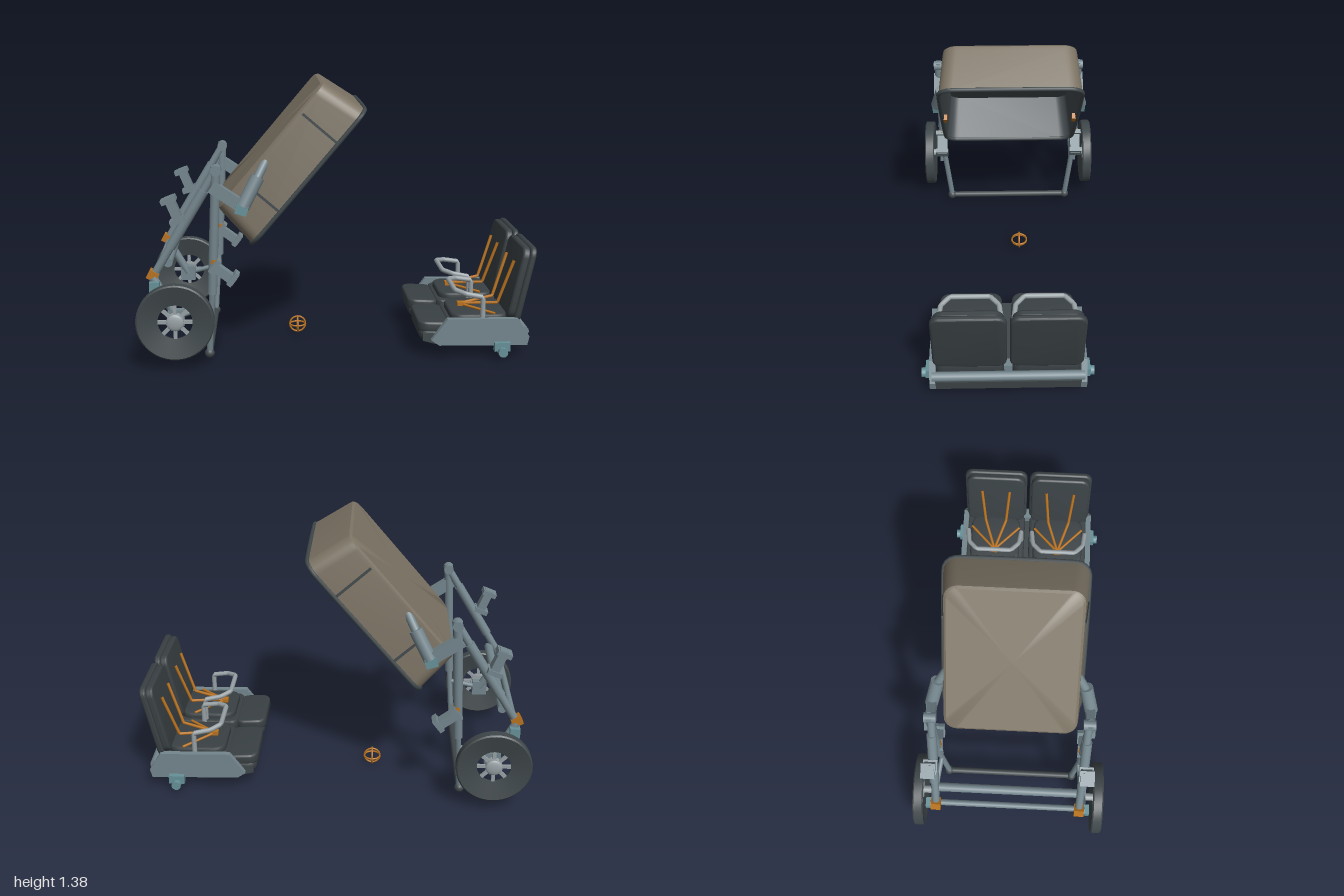
import * as THREE from 'three';
import { toCreasedNormals } from 'three/addons/utils/BufferGeometryUtils.js';

const mat = (name, color, side = THREE.FrontSide) => {
  const m = new THREE.MeshStandardMaterial({ color, side });
  m.name = name;
  return m;
};

export function createModel() {
  const root = new THREE.Group();
  const steel = mat('steel', 0x74868d), taupe = mat('taupe fabric', 0x7c7364);
  const dark = mat('dark rubber', 0x40484b), lining = mat('dark lining', 0x42494d, THREE.DoubleSide);
  const charcoal = mat('charcoal upholstery', 0x394043), orange = mat('orange webbing', 0xb8721f);
  const light = mat('light metal', 0x98a1a5), teal = mat('teal fittings', 0x679199);
  const V = (p) => new THREE.Vector3(...p);

  const add = (parent, name, geo, material, p = [0, 0, 0], r = [0, 0, 0]) => {
    const m = new THREE.Mesh(geo, material);
    m.name = name;
    m.position.set(...p);
    m.rotation.set(...r);
    parent.add(m);
    return m;
  };
  const group = (name, parent = root) => {
    const g = new THREE.Group();
    g.name = name;
    parent.add(g);
    return g;
  };
  const box = (g, name, size, material, p, r) => add(g, name, new THREE.BoxGeometry(...size), material, p, r);
  const rod = (g, name, a, b, rad, material) => {
    const d = V(b).sub(V(a));
    const m = add(g, name, new THREE.CylinderGeometry(rad, rad, d.length(), 16), material);
    m.position.copy(V(a).add(V(b)).multiplyScalar(0.5));
    m.quaternion.setFromUnitVectors(new THREE.Vector3(0, 1, 0), d.normalize());
    return m;
  };
  // bent tube through straight segments
  const bent = (g, name, pts, rad, material) => {
    const path = new THREE.CurvePath();
    for (let i = 1; i < pts.length; i++) path.add(new THREE.LineCurve3(V(pts[i - 1]), V(pts[i])));
    return add(g, name, new THREE.TubeGeometry(path, 48, rad, 10), material);
  };

  // rounded rectangle outline, half sizes a and b, corner radius r
  const outline = (a, b, r) => {
    const pts = [];
    [[1, 1], [-1, 1], [-1, -1], [1, -1]].forEach(([sx, sy], q) => {
      for (let i = 0; i <= 6; i++) {
        const t = (q + i / 6) * Math.PI / 2;
        pts.push([sx * (a - r) + r * Math.cos(t), sy * (b - r) + r * Math.sin(t)]);
      }
    });
    return pts;
  };
  // open-bottomed shell through stacked outlines [height, a, b, r]
  const loft = (sections) => {
    const pos = [], idx = [];
    for (const [y, a, b, r] of sections) for (const [x, z] of outline(a, b, r)) pos.push(x, y, z);
    const n = 28, last = (sections.length - 1) * n;
    for (let i = 0; i < sections.length - 1; i++) for (let j = 0; j < n; j++) {
      const k = i * n + j, l = i * n + (j + 1) % n;
      idx.push(k, k + n, l, l, k + n, l + n);
    }
    pos.push(0, sections.at(-1)[0], 0);
    for (let j = 0; j < n; j++) idx.push(last + n, last + (j + 1) % n, last + j);
    const g = new THREE.BufferGeometry();
    g.setAttribute('position', new THREE.Float32BufferAttribute(pos, 3));
    g.setIndex(idx);
    return toCreasedNormals(g, 0.6);
  };
  // soft-edged pad, w by h by thickness d, centred
  const pad = (w, h, d, r) => {
    const e = Math.min(0.012, d * 0.35);
    const s = new THREE.Shape(outline(w / 2 - e, h / 2 - e, r).map(([x, y]) => new THREE.Vector2(x, y)));
    const g = new THREE.ExtrudeGeometry(s, { depth: d - 2 * e, bevelThickness: e, bevelSize: e, bevelSegments: 3 });
    return toCreasedNormals(g.translate(0, 0, e - d / 2), 0.6);
  };
  const slab = (pts, depth) => new THREE.ExtrudeGeometry(
    new THREE.Shape(pts.map((p) => new THREE.Vector2(...p))), { depth, bevelEnabled: false }).translate(0, 0, -depth / 2);

  // Tilted hood: hollow tub, opening downwards
  const hood = group('hood');
  hood.position.set(-0.155, 0.925, 0);
  hood.rotation.z = 0.866;
  add(hood, 'hoodShell', loft([[0, 0.435, 0.355, 0.07], [0.215, 0.407, 0.336, 0.07],
    [0.236, 0.402, 0.332, 0.066], [0.245, 0.39, 0.32, 0.06]]), taupe);
  add(hood, 'hoodLining', loft([[0, 0.428, 0.348, 0.065], [0.232, 0.395, 0.325, 0.06]]), lining);
  const rim = outline(0.434, 0.354, 0.07).map(([x, z]) => new THREE.Vector3(x, 0, z));
  add(hood, 'hoodRim', new THREE.TubeGeometry(new THREE.CatmullRomCurve3(rim, true, 'centripetal'), 120, 0.011, 8, true), dark);
  for (const s of [1, -1]) {
    box(hood, 'hoodRib', [0.56, 0.012, 0.015], dark, [0.08, 0.225, 0.225 * s]);
    box(hood, 'upperSeam', [0.012, 0.22, 0.01], dark, [0.225, 0.115, 0.346 * s], [-0.088 * s, 0, 0]);
    box(hood, 'lowerSeam', [0.012, 0.17, 0.01], dark, [-0.215, 0.09, 0.348 * s], [-0.088 * s, 0, 0]);
    box(hood, 'hoodClip', [0.05, 0.03, 0.02], orange, [-0.05, 0.005, 0.34 * s]);
  }

  // Frame, mirrored on both sides
  const frame = group('frame');
  for (const s of [1, -1]) {
    const side = group('frameSide', frame);
    rod(side, 'rearLeg', [-0.6, 0.98, 0.38 * s], [-0.92, 0.45, 0.37 * s], 0.02, steel);
    rod(side, 'rearLegSleeve', [-0.66, 0.88, 0.38 * s], [-0.83, 0.6, 0.375 * s], 0.025, steel);
    rod(side, 'frontLeg', [-0.6, 1.0, 0.39 * s], [-0.632, 0.36, 0.38 * s], 0.023, steel);
    rod(side, 'frontLegTip', [-0.632, 0.37, 0.38 * s], [-0.655, 0.04, 0.345 * s], 0.015, steel);
    add(side, 'foot', new THREE.SphereGeometry(0.025, 16, 12), dark, [-0.655, 0.04, 0.345 * s]);
    rod(side, 'topJoint', [-0.6, 0.98, 0.355 * s], [-0.6, 0.98, 0.415 * s], 0.026, steel);
    rod(side, 'legCollar', [-0.618, 0.54, 0.382 * s], [-0.619, 0.52, 0.382 * s], 0.026, orange);
    box(side, 'legEnd', [0.05, 0.045, 0.05], orange, [-0.92, 0.46, 0.37 * s], [0, 0, -0.5]);
    // hinge arm carrying the hood
    box(side, 'hingeBlock', [0.19, 0.06, 0.045], steel, [-0.545, 0.85, 0.395 * s], [0, 0, -0.6]);
    box(side, 'hingeFitting', [0.06, 0.05, 0.05], teal, [-0.48, 0.79, 0.4 * s], [0, 0, -0.3]);
    rod(side, 'hingeArm', [-0.475, 0.8, 0.4 * s], [-0.4, 0.94, 0.365 * s], 0.034, steel);
    rod(side, 'hingeArmTip', [-0.41, 0.92, 0.37 * s], [-0.355, 1.02, 0.31 * s], 0.022, steel);
    // C-shaped brackets
    for (const [x, y, a] of [[-0.805, 0.79, 1.95], [-0.575, 0.47, -0.65]]) {
      const br = group('bracket', side);
      br.position.set(x, y, 0.388 * s);
      br.rotation.z = a;
      box(br, 'bracketPlate', [0.14, 0.045, 0.055], steel, [0, 0, 0]);
      for (const e of [1, -1]) box(br, 'bracketFlange', [0.025, 0.075, 0.07], steel, [0.055 * e, 0.005, 0]);
    }
    // suspension
    rod(side, 'strut', [-0.92, 0.45, 0.38 * s], [-0.81, 0.25, 0.395 * s], 0.022, steel);
    rod(side, 'link', [-0.635, 0.3, 0.37 * s], [-0.81, 0.25, 0.395 * s], 0.013, steel);
    box(side, 'knuckle', [0.08, 0.08, 0.04], steel, [-0.81, 0.25, 0.395 * s]);
    rod(side, 'axle', [-0.81, 0.25, 0.38 * s], [-0.81, 0.25, 0.47 * s], 0.02, light);
    box(side, 'strutFitting', [0.05, 0.05, 0.04], teal, [-0.91, 0.41, 0.405 * s]);

    // wheel with dished sides and an open spoked hub
    const wheel = group('wheel', side);
    wheel.position.set(-0.81, 0.25, 0.4725 * s);
    wheel.rotation.x = s * Math.PI / 2;
    const prof = [[0.085, -0.006], [0.183, -0.0275], [0.19, -0.021], [0.19, 0.021], [0.183, 0.0275], [0.085, 0.006], [0.085, -0.006]];
    add(wheel, 'tyre', toCreasedNormals(new THREE.LatheGeometry(prof.map((p) => new THREE.Vector2(...p)), 48), 0.6), dark);
    add(wheel, 'hub', new THREE.CylinderGeometry(0.043, 0.043, 0.03, 24), light);
    add(wheel, 'hubCap', new THREE.SphereGeometry(0.042, 24, 12, 0, 2 * Math.PI, 0, Math.PI / 2).scale(1, 0.3, 1), light, [0, 0.015, 0]);
    for (let i = 0; i < 8; i++) {
      const t = i * Math.PI / 4;
      box(wheel, 'spoke', [0.055, 0.012, 0.018], light, [0.063 * Math.cos(t), 0, 0.063 * Math.sin(t)], [0, -t, 0]);
    }
  }
  rod(frame, 'footBar', [-0.655, 0.04, -0.345], [-0.655, 0.04, 0.345], 0.017, dark);
  rod(frame, 'upperCrossbar', [-0.845, 0.52, -0.37], [-0.845, 0.52, 0.37], 0.023, steel);
  rod(frame, 'lowerCrossbar', [-0.91, 0.445, -0.37], [-0.91, 0.445, 0.37], 0.016, steel);

  // Separate seat unit
  const seats = group('seatUnit');
  seats.position.z = 0.027;
  add(seats, 'seatBase', slab([[0.42, 0.09], [0.5, 0.068], [0.95, 0.065], [0.96, 0.12], [0.42, 0.13]], 0.71), dark);
  const panel = [[0.46, 0.1], [0.5, 0.072], [0.95, 0.065], [0.96, 0.11], [0.9, 0.205], [0.54, 0.21]];
  rod(seats, 'rearTube', [0.935, 0.135, -0.37], [0.935, 0.135, 0.37], 0.024, steel);
  box(seats, 'centreBlock', [0.05, 0.05, 0.04], steel, [0.9, 0.165, 0]);
  for (const s of [1, -1]) {
    add(seats, 'sidePanel', slab(panel, 0.03), steel, [0, 0, 0.367 * s]);
    box(seats, 'dockFitting', [0.08, 0.045, 0.035], teal, [0.818, 0.065, 0.39 * s]);
    rod(seats, 'dockPin', [0.818, 0.042, 0.37 * s], [0.818, 0.042, 0.43 * s], 0.024, teal);

    const seat = group('seat', seats);
    seat.position.z = 0.186 * s;
    add(seat, 'legRestBase', pad(0.19, 0.33, 0.045, 0.03).rotateX(Math.PI / 2), charcoal, [0.5, 0.115, 0], [0, 0, -0.05]);
    add(seat, 'legRest', pad(0.17, 0.32, 0.055, 0.04).rotateX(Math.PI / 2), charcoal, [0.482, 0.155, 0], [0, 0, -0.05]);
    add(seat, 'cushionBase', pad(0.36, 0.345, 0.07, 0.03).rotateX(Math.PI / 2), charcoal, [0.73, 0.15, 0]);
    add(seat, 'cushion', pad(0.3, 0.29, 0.05, 0.05).rotateX(Math.PI / 2), charcoal, [0.72, 0.19, 0]);
    const back = group('backrest', seat);
    back.position.set(0.92, 0.372, 0);
    back.rotation.z = -0.21;
    add(back, 'backShell', pad(0.357, 0.4, 0.032, 0.035).rotateY(Math.PI / 2), charcoal, [0.016, 0, 0]);
    add(back, 'backPad', pad(0.335, 0.38, 0.04, 0.04).rotateY(Math.PI / 2), charcoal, [-0.014, 0, 0]);
    // U-shaped grab bar
    bent(seat, 'grabBar', [[0.725, 0.19, -0.155], [0.725, 0.31, -0.155], [0.64, 0.325, -0.145], [0.59, 0.335, -0.1],
      [0.59, 0.335, 0.1], [0.64, 0.325, 0.145], [0.725, 0.31, 0.155], [0.725, 0.19, 0.155]], 0.013, light);
    // harness
    box(seat, 'buckle', [0.035, 0.02, 0.035], orange, [0.64, 0.23, 0]);
    for (const e of [1, -1]) {
      bent(seat, 'shoulderStrap', [[0.64, 0.232, 0], [0.82, 0.25, 0.06 * e], [0.895, 0.48, 0.08 * e]], 0.008, orange);
      rod(seat, 'lapStrap', [0.64, 0.228, 0], [0.79, 0.218, 0.14 * e], 0.007, orange);
    }
  }

  // Small ball made of three crossed rings
  const ball = group('ringBall');
  ball.position.set(-0.2, 0.047, -0.055);
  for (const r of [[0, 0, 0], [Math.PI / 2, 0, 0], [0, Math.PI / 2, 0]])
    add(ball, 'ring', new THREE.TorusGeometry(0.042, 0.005, 8, 32), orange, [0, 0, 0], r);
  return root;
}
